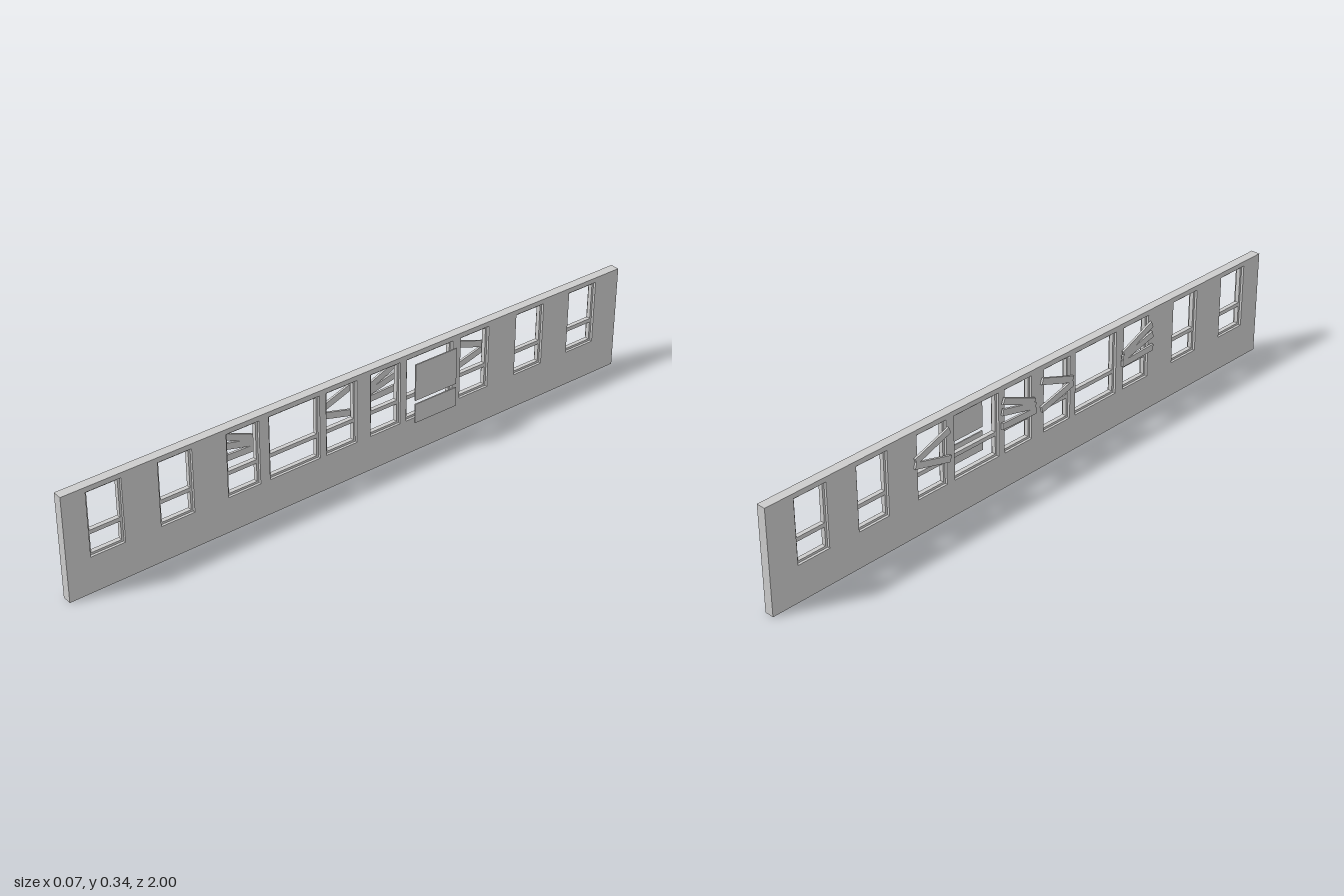
import * as THREE from 'three';

const material = new THREE.MeshStandardMaterial({ color: 0xcccccc, flatShading: true });

// Window openings: [z centre, width]
const WINDOWS = [
  [0.87, 0.11], [0.645, 0.11], [0.422, 0.11], [0.246, 0.176], [0.08, 0.11],
  [-0.08, 0.11], [-0.245, 0.174], [-0.417, 0.11], [-0.635, 0.11], [-0.85, 0.11],
];
const SILL = 0.117, HEAD = 0.325;

function rect(Type, z0, z1, y0, y1) {
  const p = new Type();
  p.moveTo(z0, y0);
  p.lineTo(z1, y0);
  p.lineTo(z1, y1);
  p.lineTo(z0, y1);
  p.closePath();
  return p;
}

// Extrudes a (z, y) outline from x = xFront towards -x
function slab(name, shape, xFront, depth) {
  const geometry = new THREE.ExtrudeGeometry(shape, { depth, bevelEnabled: false });
  geometry.rotateY(-Math.PI / 2);
  geometry.translate(xFront, 0, 0);
  const mesh = new THREE.Mesh(geometry, material);
  mesh.name = name;
  return mesh;
}

function box(name, x, y, z, w, h, d) {
  const mesh = new THREE.Mesh(new THREE.BoxGeometry(w, h, d), material);
  mesh.name = name;
  mesh.position.set(x, y, z);
  return mesh;
}

// Planks nailed across a window: [centre y, slope angle]; flip mirrors along z
function boards(x, z, flip, planks) {
  const group = new THREE.Group();
  group.name = 'windowBoards';
  for (const [y, angle] of planks) {
    const plank = box('board', x, y, z, 0.007, 0.021, 0.137 * Math.cos(angle * 0.4));
    plank.rotation.x = -angle * flip;
    group.add(plank);
  }
  return group;
}

export function createModel() {
  const model = new THREE.Group();
  model.name = 'wallWithWindows';

  // Wall with openings
  const wall = rect(THREE.Shape, -1, 1, 0, 0.341);
  for (const [z, w] of WINDOWS) {
    wall.holes.push(rect(THREE.Path, z - w / 2, z + w / 2, SILL, HEAD));
  }
  model.add(slab('wall', wall, 0.007, 0.03));

  // Recessed frames with a middle rail
  for (const [z, w] of WINDOWS) {
    const z0 = z - w / 2, z1 = z + w / 2, b = 0.007;
    const frame = rect(THREE.Shape, z0, z1, SILL, HEAD);
    frame.holes.push(rect(THREE.Path, z0 + b, z1 - b, SILL + b, 0.184));
    frame.holes.push(rect(THREE.Path, z0 + b, z1 - b, 0.197, HEAD - b));
    model.add(slab('windowFrame', frame, -0.001, 0.014));
  }

  // Loose panes standing off the wall
  model.add(box('upperPane', 0.0335, 0.257, -0.246, 0.004, 0.121, 0.155));
  model.add(box('lowerPane', 0.0335, 0.152, -0.246, 0.004, 0.064, 0.155));

  // Boarded windows
  const fan = [[0.273, 0.4], [0.248, 0.24], [0.217, 0.03]];
  const wedge = [[0.27, 0.34], [0.217, -0.26]];
  model.add(boards(-0.0335, 0.4175, 1, fan), boards(-0.0335, -0.0875, -1, fan));
  model.add(boards(-0.0265, 0.0775, -1, wedge), boards(-0.0265, -0.4175, 1, wedge));

  return model;
}
